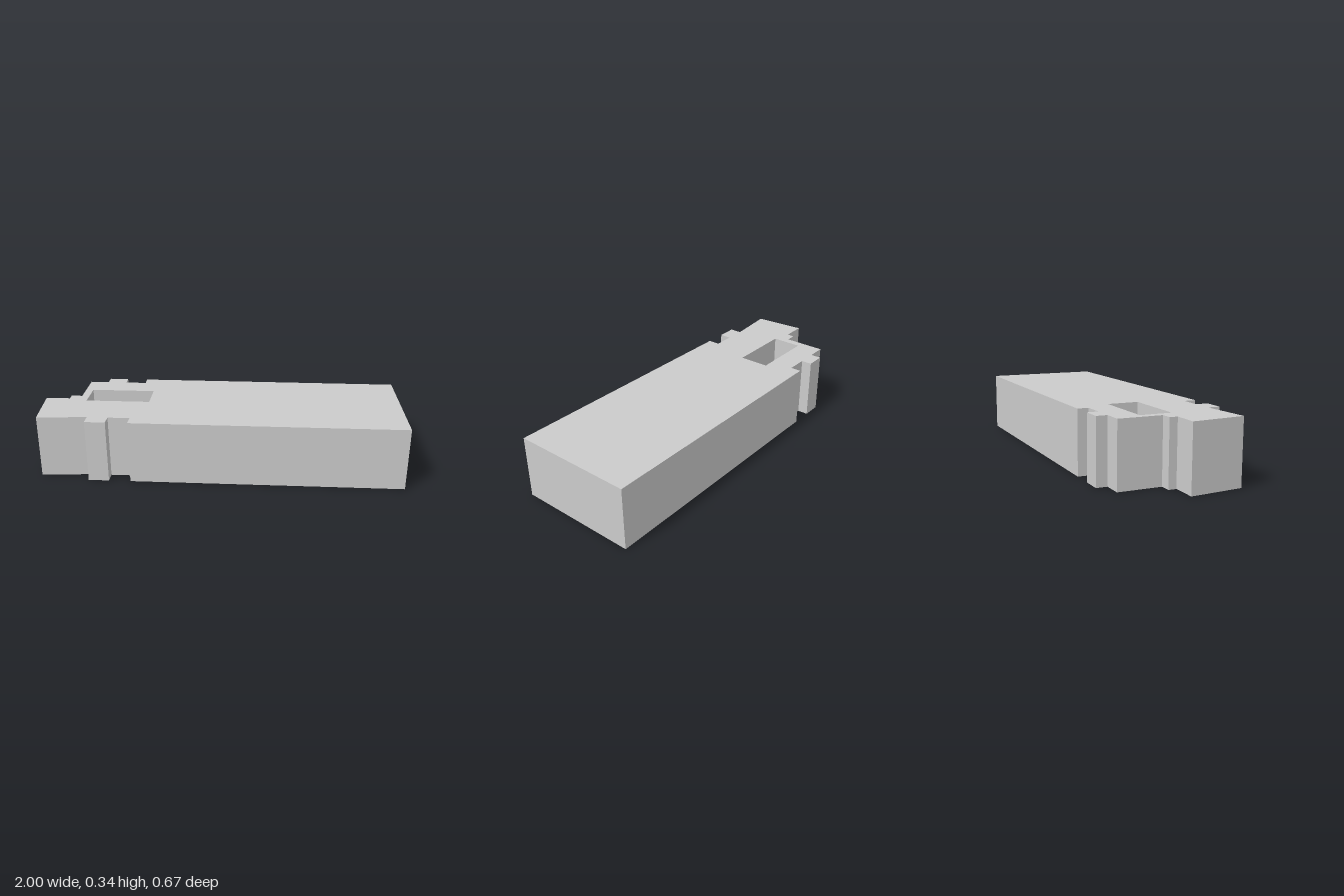
import * as THREE from 'three';

const HEIGHT = 0.344;

// Plan points are [x, z]; the shape is drawn with z negated, then laid flat.
const toPlan = (points) => points.map(([x, z]) => new THREE.Vector2(x, -z));

export function createModel() {
  const group = new THREE.Group();
  group.name = 'notchedBlock';

  const outline = new THREE.Shape(toPlan([
    // right end and back edge, with its notch and tab
    [1, 0.335], [1, -0.335], [-0.475, -0.335], [-0.475, -0.275],
    [-0.593, -0.275], [-0.593, -0.335], [-0.7, -0.335], [-0.7, -0.275],
    // stepped end and slanted corner block
    [-0.805, -0.275], [-0.805, -0.04], [-0.866, -0.04], [-0.866, 0.003],
    [-1, 0.003], [-0.975, 0.29], [-0.705, 0.268],
    // front edge, with its tab and notch
    [-0.705, 0.335], [-0.593, 0.335], [-0.593, 0.268],
    [-0.475, 0.268], [-0.475, 0.335],
  ]));

  // rectangular shaft through the full height
  outline.holes.push(new THREE.Path(toPlan([
    [-0.763, -0.14], [-0.406, -0.14], [-0.406, 0.03], [-0.763, 0.03],
  ])));

  const geometry = new THREE.ExtrudeGeometry(outline, { depth: HEIGHT, bevelEnabled: false });
  geometry.rotateX(-Math.PI / 2);

  const material = new THREE.MeshStandardMaterial({ color: 0xcccccc, flatShading: true });
  const body = new THREE.Mesh(geometry, material);
  body.name = 'body';
  group.add(body);
  return group;
}
